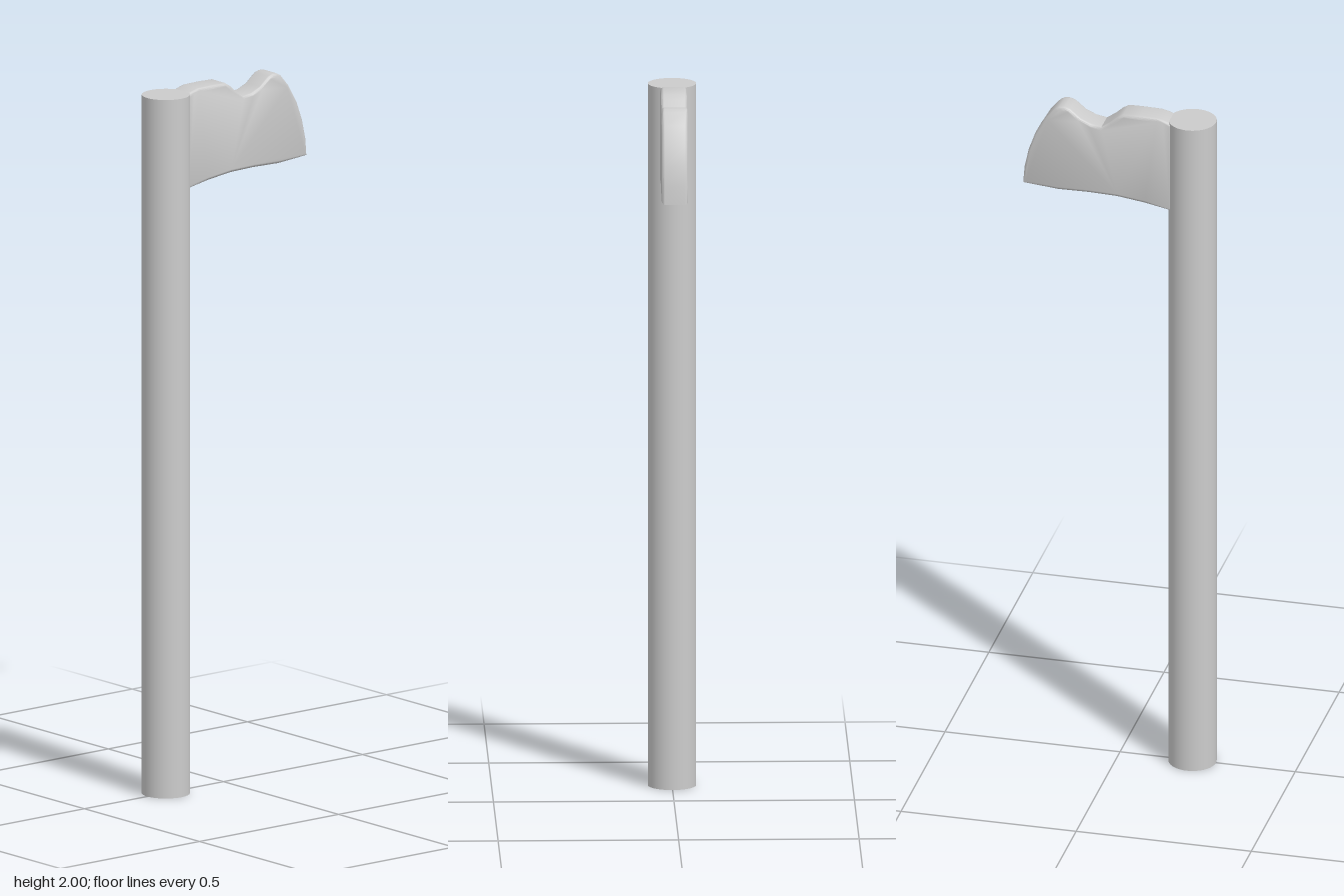
import * as THREE from 'three';
import { toCreasedNormals } from 'three/addons/utils/BufferGeometryUtils.js';

export function createModel() {
  const model = new THREE.Group();
  const material = new THREE.MeshStandardMaterial({ color: 0xcccccc });

  // Round shaft
  const height = 1.99, radius = 0.067;
  const handle = new THREE.Mesh(new THREE.CylinderGeometry(radius, radius, height, 48), material);
  handle.name = 'handle';
  handle.position.set(-0.207, height / 2, 0);
  model.add(handle);

  // Blade outline: lower edge, curved cutting edge, then the notched top
  const outline = [
    [-0.16, 1.717], [-0.08, 1.732], [0, 1.742], [0.08, 1.744], [0.17, 1.742], [0.27, 1.75],
    [0.266, 1.8], [0.254, 1.855], [0.235, 1.908], [0.205, 1.96], [0.178, 1.992],
    [0.165, 1.999], [0.15, 2], [0.135, 1.995], [0.105, 1.97], [0.075, 1.957], [0.045, 1.952],
    [0.02, 1.97], [0, 1.988], [-0.018, 1.999], [-0.065, 2], [-0.115, 1.999], [-0.135, 1.994], [-0.16, 1.985],
  ];
  const shape = new THREE.Shape(outline.map(([x, y]) => new THREE.Vector2(x, y)));

  // Thick plate with softened rims, turned slightly about the shaft axis
  const thickness = 0.073, bevel = 0.009;
  const plate = new THREE.ExtrudeGeometry(shape, {
    depth: thickness - 2 * bevel,
    bevelThickness: bevel,
    bevelSize: bevel,
    bevelOffset: -bevel,
    bevelSegments: 4,
  });
  plate.translate(0, 0, bevel - thickness / 2);
  const blade = new THREE.Mesh(toCreasedNormals(plate, 0.7), material);
  blade.name = 'blade';
  blade.rotation.y = -0.0155;
  model.add(blade);

  return model;
}
